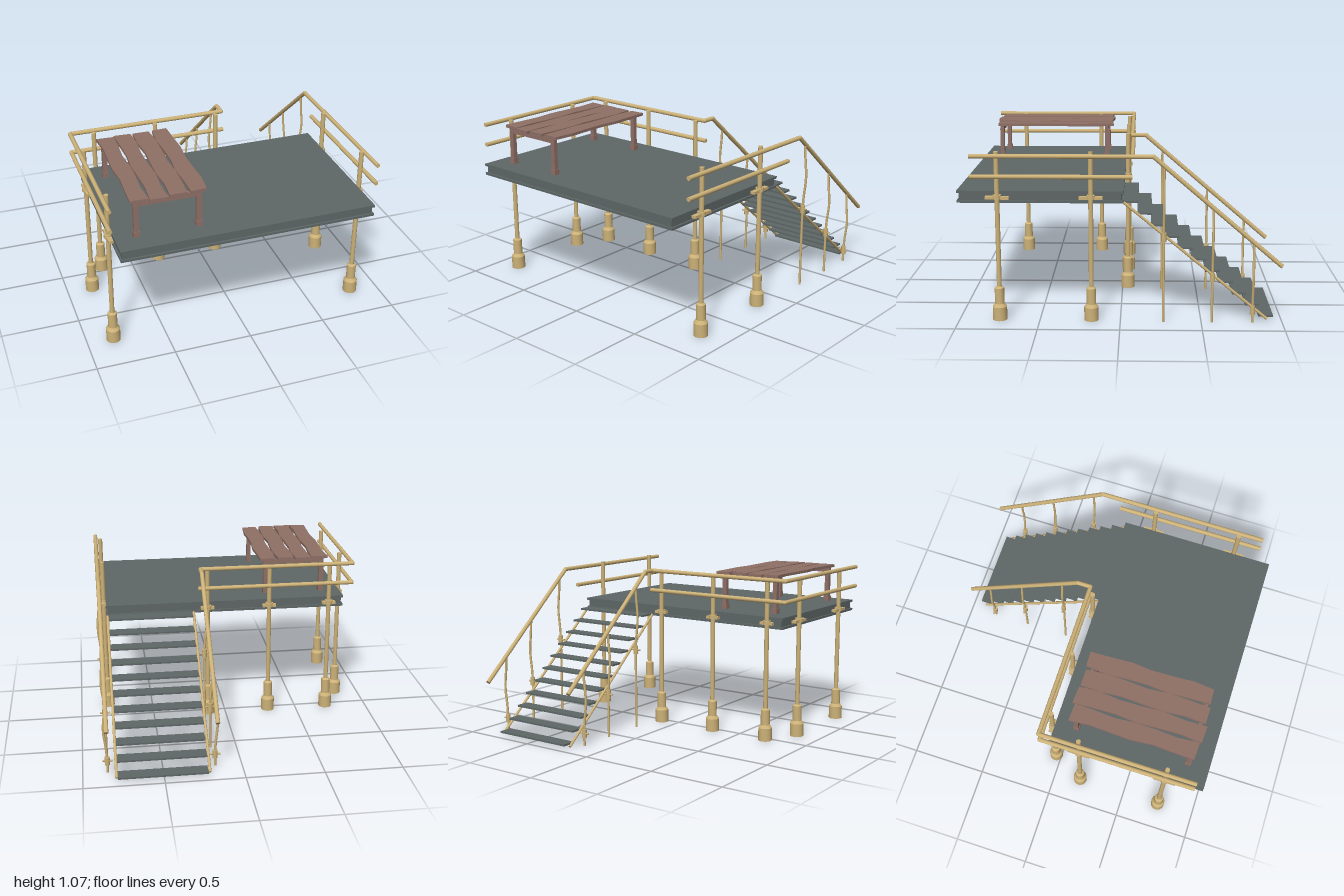
import * as THREE from 'three';
import { toCreasedNormals } from 'three/addons/utils/BufferGeometryUtils.js';

const bamboo = new THREE.MeshStandardMaterial({ name: 'bamboo tan', color: 0xcdb278 });
const slate = new THREE.MeshStandardMaterial({ name: 'slate grey', color: 0x5f6767 });
const wood = new THREE.MeshStandardMaterial({ name: 'weathered brown', color: 0x8f7066 });

const V = (x, y, z) => new THREE.Vector3(x, y, z);
const UP = V(0, 1, 0);

function add(parent, name, geometry, material, x = 0, y = 0, z = 0) {
  const mesh = new THREE.Mesh(geometry, material);
  mesh.name = name;
  mesh.position.set(x, y, z);
  parent.add(mesh);
  return mesh;
}

function box(parent, name, material, x0, x1, y0, y1, z0, z1) {
  return add(parent, name, new THREE.BoxGeometry(x1 - x0, y1 - y0, z1 - z0), material,
    (x0 + x1) / 2, (y0 + y1) / 2, (z0 + z1) / 2);
}

// round bar between two points
function rod(parent, name, a, b, r, sides = 12) {
  const d = b.clone().sub(a);
  const mesh = add(parent, name, new THREE.CylinderGeometry(r, r, d.length(), sides), bamboo);
  mesh.position.copy(a).add(b).multiplyScalar(0.5);
  mesh.quaternion.setFromUnitVectors(UP, d.normalize());
  return mesh;
}

// handrail through several points, with rounded elbows
function rail(parent, name, points, r = 0.014) {
  const group = new THREE.Group();
  group.name = name;
  points.slice(1).forEach((p, i) => {
    rod(group, 'railBar', points[i], p, r);
    if (i > 0) add(group, 'railElbow', new THREE.SphereGeometry(r, 12, 8), bamboo, ...points[i].toArray());
  });
  parent.add(group);
}

// post on a stepped footing, clamped to the deck edge
function post(parent, x, z, top, alongX) {
  const group = new THREE.Group();
  group.name = 'post';
  group.position.set(x, 0, z);
  const profile = [[0, 0], [0.045, 0], [0.045, 0.085], [0.03, 0.105], [0.03, 0.205], [0.016, 0.215]]
    .map(([r, y]) => new THREE.Vector2(r, y));
  add(group, 'footing', toCreasedNormals(new THREE.LatheGeometry(profile, 16), 0.6), bamboo);
  rod(group, 'pole', V(0, 0.2, 0), V(0, top, 0), 0.015);
  add(group, 'clampRing', new THREE.CylinderGeometry(0.026, 0.026, 0.026, 16), bamboo, 0, 0.78, 0);
  const size = alongX ? [0.09, 0.018, 0.03] : [0.03, 0.018, 0.145];
  add(group, 'clampPlate', new THREE.BoxGeometry(...size), bamboo, 0, 0.775, 0);
  parent.add(group);
}

// plank lying flat with uneven edges
function plank(parent, x0, x1, z0, z1, seed) {
  const wobble = (i) => 0.007 * Math.sin(seed * 5.3 + i * 2.1);
  const n = 6;
  const outline = [];
  for (let i = 0; i <= n; i++) outline.push(new THREE.Vector2(x0 + wobble(i), -(z0 + (z1 - z0) * i / n)));
  for (let i = n; i >= 0; i--) outline.push(new THREE.Vector2(x1 + wobble(i + 0.8), -(z0 + (z1 - z0) * i / n) + wobble(i + 3)));
  const geometry = new THREE.ExtrudeGeometry(new THREE.Shape(outline), { depth: 0.018, bevelEnabled: false });
  geometry.rotateX(-Math.PI / 2);
  add(parent, 'tablePlank', geometry, wood, 0, 1.053 + 0.002 * (seed % 2), 0);
}

function buildDeck(root) {
  const deck = new THREE.Group();
  deck.name = 'deck';
  box(deck, 'deckTop', slate, -0.82, 0.8, 0.8, 0.815, -0.02, 1);
  box(deck, 'deckCore', slate, -0.808, 0.788, 0.755, 0.8, -0.008, 0.988);
  box(deck, 'deckBottom', slate, -0.82, 0.8, 0.74, 0.755, -0.02, 1);
  root.add(deck);
  for (const z of [0.18, 0.75]) {
    post(root, -0.832, z, 1.06, false);
    post(root, 0.812, z, 1.06, false);
  }
  for (const x of [-0.715, -0.302, 0.12]) post(root, x, -0.036, 1.06, true);
}

function buildRails(root) {
  const L = -0.863, R = 0.845, back = -0.068, inner = 0.17;
  rail(root, 'mainHandrail', [V(L, 1.06, 0.945), V(L, 1.06, back), V(inner, 1.06, back),
    V(inner, 1.06, -0.155), V(inner, 0.366, -0.965)]);
  rail(root, 'lowerRail', [V(L, 0.925, 0.945), V(L, 0.925, back), V(0.185, 0.925, back)]);
  rail(root, 'sideHandrail', [V(R, 1.037, 0.91), V(R, 1.037, -0.2), V(R, 0.36, -0.99)]);
  rail(root, 'sideLowerRail', [V(R, 0.912, 0.91), V(R, 0.912, -0.075)]);
}

function buildStairs(root) {
  const stairs = new THREE.Group();
  stairs.name = 'stairs';
  for (let i = 0; i < 11; i++) {
    const y = 0.745 - i * 0.0723, z = -0.065 - i * 0.084;
    box(stairs, 'tread', slate, 0.225, 0.785, y - 0.006, y + 0.006, z - 0.045, z + 0.045);
  }
  for (const x of [0.213, 0.793]) rod(stairs, 'stringer', V(x, 0.745, -0.02), V(x, 0.007, -0.91), 0.009);

  // bowed balusters gripped beside the stringers
  for (const [x, side] of [[0.17, -1], [0.845, 1]]) {
    for (const z of [-0.265, -0.565, -0.815]) {
      const grip = 0.745 + (z + 0.02) * 0.835;
      const top = 1.06 + (z + 0.165) * 0.857;
      const mid = (grip + top) / 2;
      const path = new THREE.CatmullRomCurve3([V(x, 0, z), V(x, grip, z),
        V(x + side * 0.004, grip + 0.08, z), V(x + side * 0.017, mid, z),
        V(x + side * 0.006, top - 0.09, z), V(x, top, z)]);
      add(stairs, 'baluster', new THREE.TubeGeometry(path, 24, 0.008, 8), bamboo);
      add(stairs, 'balusterClamp', new THREE.CylinderGeometry(0.016, 0.016, 0.055, 12), bamboo, x, grip, z);
      rod(stairs, 'clampBolt', V(x - 0.035, grip, z), V(x + 0.03, grip, z), 0.006, 8);
    }
  }
  root.add(stairs);
}

function buildTable(root) {
  const table = new THREE.Group();
  table.name = 'table';
  plank(table, -0.72, -0.617, 0.08, 0.885, 1);
  plank(table, -0.603, -0.498, 0.068, 0.9, 2);
  plank(table, -0.485, -0.373, 0.08, 0.89, 3);
  plank(table, -0.36, -0.252, 0.075, 0.885, 4);
  for (const z of [0.12, 0.86]) {
    box(table, 'tableApron', wood, -0.705, -0.285, 1.02, 1.053, z - 0.012, z + 0.012);
    for (const x of [-0.688, -0.3]) {
      box(table, 'tableLeg', wood, x - 0.015, x + 0.015, 0.85, 1.03, z - 0.014, z + 0.014);
      box(table, 'tableFoot', wood, x - 0.019, x + 0.019, 0.815, 0.85, z - 0.019, z + 0.019);
    }
  }
  root.add(table);
}

export function createModel() {
  const root = new THREE.Group();
  root.name = 'raisedDeck';
  buildDeck(root);
  buildRails(root);
  buildStairs(root);
  buildTable(root);
  return root;
}
